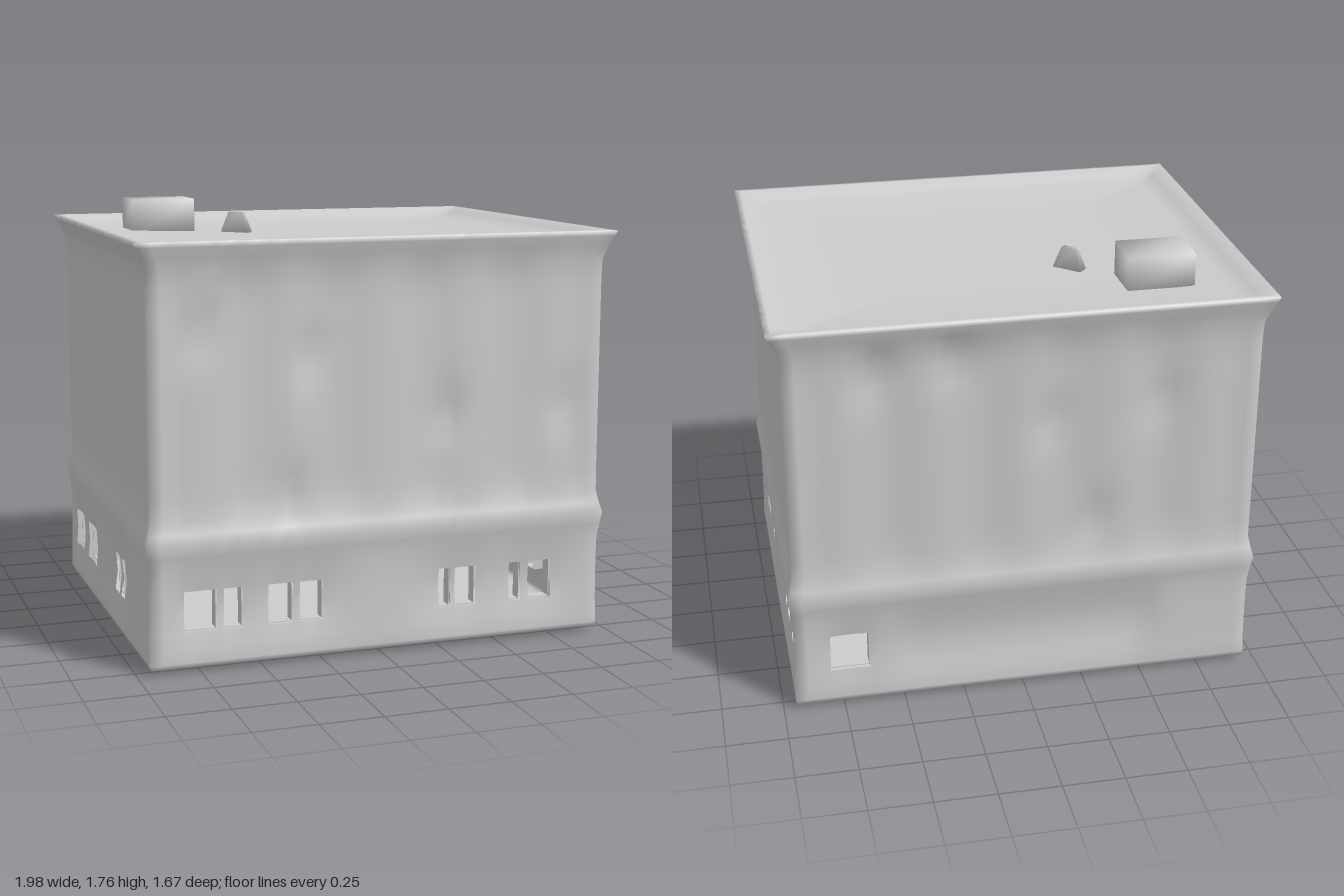
import * as THREE from 'three';
import { mergeVertices } from 'three/addons/utils/BufferGeometryUtils.js';

// Ground-floor openings per side: [left, right, bottom, top], seen from outside
const SIDES = [
  { angle: 0, windows: [[-0.81, -0.68], [-0.65, -0.575], [-0.47, -0.37], [-0.34, -0.245],
    [0.25, 0.3], [0.32, 0.41], [0.56, 0.61], [0.645, 0.745]],
    dents: [[-0.74, 1.32], [-0.3, 1.22], [0.28, 0.96], [0.78, 0.97], [-0.38, 0.67]] },
  { angle: Math.PI / 2, windows: [[-0.65, -0.5], [-0.38, -0.29], [0.22, 0.27], [0.32, 0.39],
    [0.51, 0.6], [0.62, 0.68]], dents: [], flat: true },
  { angle: Math.PI, windows: [[-0.8, -0.64]],
    dents: [[-0.3, 1.5], [0.1, 1.2], [-0.6, 1.45], [0.3, 0.75], [0.55, 1.25]], panel: true },
  { angle: -Math.PI / 2, windows: [[-0.72, -0.57], [-0.46, -0.28], [0.1, 0.18], [0.21, 0.27]],
    dents: [], flat: true },
];
const SILL = 0.16, HEAD = 0.32;

// Profile from floor centre, up the walls, over the rim to roof centre: [y, half x, half z]
const PROFILE = [
  [0, 0, 0], [0.018, 0.9, 0.76], [0.02, 0.945, 0.805], [0.04, 0.95, 0.81], [0.1, 0.947, 0.808],
  [SILL, 0.946, 0.806], [0.24, 0.945, 0.805], [HEAD, 0.945, 0.805], [0.4, 0.946, 0.806],
  [0.46, 0.953, 0.815], [0.51, 0.96, 0.825], [0.55, 0.95, 0.812], [0.6, 0.94, 0.8],
];
for (let y = 0.68; y < 1.54; y += 0.08) PROFILE.push([y, 0.939, 0.8]);
PROFILE.push([1.56, 0.941, 0.804], [1.61, 0.96, 0.818], [1.65, 0.98, 0.83], [1.67, 0.99, 0.835],
  [1.673, 0.965, 0.81], [1.655, 0.92, 0.77], [1.63, 0.86, 0.71], [1.62, 0.5, 0.42], [1.615, 0, 0]);

const bell = (d, w) => Math.exp(-(d * d) / (w * w));
const smooth = THREE.MathUtils.smoothstep;

// How far the wall is pushed in at a point
function inset(side, u, half, y) {
  if (y < 0.03 || y > 1.6) return 0;
  let d = 0;
  for (const [l, r] of side.windows) {
    d = Math.max(d, 0.025 * bell(u - (l + r) / 2, 0.13) * bell(y - 0.25, 0.12));
  }
  if (side.panel) d += 0.03 * bell(y - 0.25, 0.13) * (1 - smooth(Math.abs(u), 0.45, 0.62));
  const upper = smooth(y, 0.55, 0.68) * (1 - smooth(y, 1.48, 1.6));
  d += upper * (side.flat ? 0.002 : 0.008) * (1 - Math.cos((u * 2 * Math.PI) / 0.37));
  for (const [du, dy] of side.dents) d += 0.025 * bell(u - du, 0.07) * bell(y - dy, 0.1);
  return d * smooth(half - Math.abs(u), 0.03, 0.12);
}

// Whole shell: four grids meeting at the corners, with the window cells left open
function shellGeometry() {
  const positions = [], index = [], p = new THREE.Vector3(), up = new THREE.Vector3(0, 1, 0);
  SIDES.forEach((side, s) => {
    const axis = s % 2 === 0 ? 1 : 2;
    const half = axis === 1 ? 0.945 : 0.805;
    const cols = [-half, -half + 0.05, half - 0.05, half];
    side.windows.forEach(([l, r]) => cols.push(l, r));
    for (let u = -half + 0.1; u < half - 0.07; u += 0.05) {
      if (!cols.some((c) => Math.abs(c - u) < 0.018)) cols.push(u);
    }
    cols.sort((a, b) => a - b);
    const base = positions.length / 3, n = cols.length;
    for (const row of PROFILE) {
      for (const u of cols) {
        p.set((u / half) * row[axis], row[0], row[3 - axis] - inset(side, u, half, row[0]));
        p.applyAxisAngle(up, side.angle);
        positions.push(p.x, p.y, p.z);
      }
    }
    for (let j = 0; j < PROFILE.length - 1; j++) {
      const y = (PROFILE[j][0] + PROFILE[j + 1][0]) / 2;
      for (let i = 0; i < n - 1; i++) {
        const u = (cols[i] + cols[i + 1]) / 2;
        if (y > SILL && y < HEAD && side.windows.some(([l, r]) => u > l && u < r)) continue;
        const a = base + j * n + i;
        index.push(a, a + 1, a + n + 1, a, a + n + 1, a + n);
      }
    }
  });
  return smoothed(positions, index);
}

function smoothed(positions, index) {
  let g = new THREE.BufferGeometry();
  g.setAttribute('position', new THREE.Float32BufferAttribute(positions, 3));
  g.setIndex(index);
  g = mergeVertices(g, 1e-4);
  g.computeVertexNormals();
  return g;
}

// Box whose corners share normals, with its top scaled for a taper
function softBox(w, h, d, taper = 1) {
  const g = new THREE.BoxGeometry(w, h, d), pos = g.attributes.position;
  for (let i = 0; i < pos.count; i++) {
    if (pos.getY(i) > 0) pos.setXYZ(i, pos.getX(i) * taper, pos.getY(i), pos.getZ(i) * taper);
  }
  return smoothed(Array.from(pos.array), Array.from(g.index.array));
}

export function createModel() {
  const model = new THREE.Group();
  model.name = 'building';
  const grey = new THREE.MeshStandardMaterial({ color: 0xcccccc, side: THREE.DoubleSide });
  grey.name = 'plain grey';
  const add = (name, geometry, parent = model) => {
    const mesh = new THREE.Mesh(geometry, grey);
    mesh.name = name;
    parent.add(mesh);
    return mesh;
  };

  add('buildingShell', shellGeometry());

  // Window reveals: thin jambs, sill and head going inwards
  SIDES.forEach((side, s) => {
    const group = new THREE.Group();
    group.name = 'windowReveals';
    group.rotation.y = side.angle;
    const face = s % 2 === 0 ? 0.805 : 0.945, depth = 0.05, t = 0.004;
    for (const [l, r] of side.windows) {
      const mid = (l + r) / 2, z = face - 0.03 - depth / 2;
      for (const x of [l, r]) {
        add('windowJamb', new THREE.BoxGeometry(t, HEAD - SILL, depth), group)
          .position.set(x, (SILL + HEAD) / 2, z);
      }
      for (const y of [SILL, HEAD]) {
        add('windowLedge', new THREE.BoxGeometry(r - l, t, depth), group).position.set(mid, y, z);
      }
    }
    model.add(group);
  });

  // Roof details
  add('roofHousing', softBox(0.275, 0.16, 0.205)).position.set(-0.595, 1.68, -0.448);
  const vent = add('roofVent', softBox(0.13, 0.09, 0.05, 0.5));
  vent.position.set(-0.295, 1.66, -0.245);
  vent.rotation.y = -0.75;
  return model;
}
